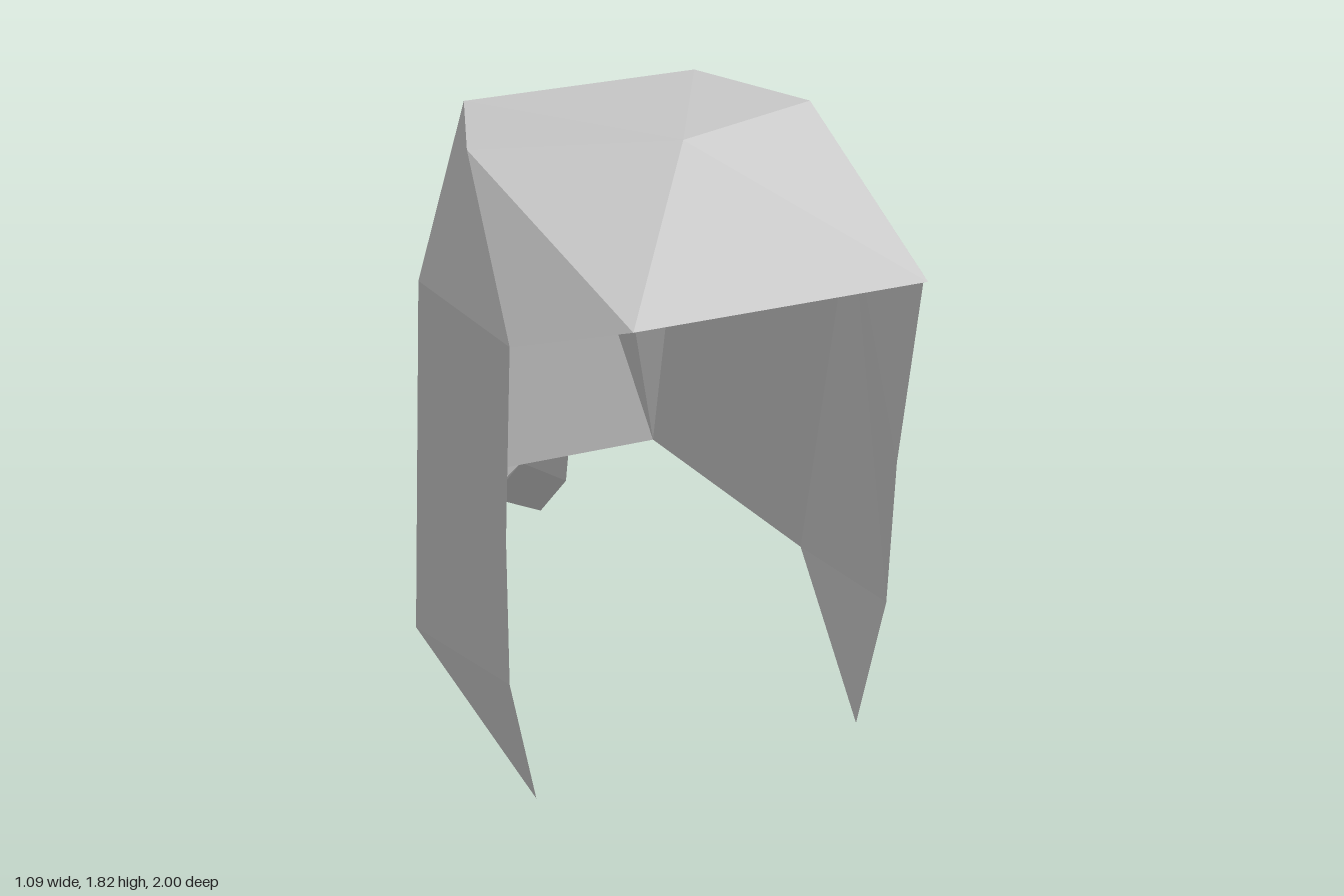
import * as THREE from 'three';

// Corner points of the left (+x) half; points on x = 0 are shared
const P = {
  peak: [0, 1.82, 0.515], nape: [0, 1.455, -0.335],
  brim: [0.36, 1.64, 1.0], crown: [0.42, 1.76, 0.27], backTop: [0.3, 1.7, -0.15],
  temple: [0.485, 1.52, 0.76], ear: [0.545, 1.455, 0.27],
  frontMid: [0.485, 1.0, 0.7], frontLow: [0.485, 0.6, 0.7], lockTip: [0.425, 0.245, 0.7],
  sideLow: [0.545, 0.37, 0.09], backLow: [0.3, 0.49, -0.395], napeSide: [0.12, 1.395, -0.27],
};

// Looks up a point; side -1 mirrors it, and the brim is a little narrower there
function point(name, side) {
  const [x, y, z] = P[name];
  return side < 0 && name === 'brim' ? [-0.3, y, z] : [x * side, y, z];
}

function meshFrom(name, triangles, material) {
  const geometry = new THREE.BufferGeometry();
  geometry.setAttribute('position', new THREE.Float32BufferAttribute(triangles.flat(2), 3));
  geometry.computeVertexNormals();
  const mesh = new THREE.Mesh(geometry, material);
  mesh.name = name;
  return mesh;
}

// Builds facets on both sides, then any that span the centre line ('-' marks the mirrored point)
function panel(name, halfFacets, centreFacets, material) {
  const triangles = [];
  for (const facet of halfFacets) {
    const names = facet.split(' ');
    triangles.push(names.map((n) => point(n, 1)));
    triangles.push(names.map((n) => point(n, -1)).reverse());
  }
  for (const facet of centreFacets) {
    triangles.push(facet.split(' ').map((n) => (n[0] === '-' ? point(n.slice(1), -1) : point(n, 1))));
  }
  return meshFrom(name, triangles, material);
}

export function createModel() {
  const group = new THREE.Group();
  group.name = 'hair';
  const hair = new THREE.MeshStandardMaterial({ color: 0xcccccc });
  hair.name = 'hairGrey';
  hair.side = THREE.DoubleSide;
  hair.flatShading = true;

  // Top of the head and the fringe
  group.add(panel('crown',
    ['peak brim crown', 'peak crown backTop', 'crown brim temple', 'crown temple ear', 'crown ear backTop'],
    ['peak -brim brim', 'peak backTop -backTop'], hair));

  // Long hair hanging at the sides
  group.add(panel('sideHair',
    ['backTop ear sideLow', 'backTop sideLow backLow', 'ear temple frontMid',
      'ear frontMid frontLow', 'ear frontLow sideLow', 'sideLow frontLow lockTip'],
    [], hair));

  // Back of the head, gathered at the nape
  group.add(panel('backHair',
    ['backTop backLow napeSide', 'backTop napeSide nape', 'napeSide backLow nape'],
    ['backTop nape -backTop', 'nape backLow -backLow'], hair));

  // Ponytail: a roof-shaped strip, each row [ridge y, ridge z, edge y, edge z]
  const rows = [
    [1.455, -0.335, 1.395, -0.27], [1.395, -0.452, 1.34, -0.395],
    [0.305, -0.695, 0.25, -0.637], [0, -1, 0, -0.88],
  ];
  const tail = [];
  for (let i = 0; i < rows.length - 1; i++) {
    const [a, b] = [rows[i], rows[i + 1]];
    for (const s of [1, -1]) {
      const ridgeA = [0, a[0], a[1]], ridgeB = [0, b[0], b[1]];
      const edgeA = [0.12 * s, a[2], a[3]], edgeB = [0.12 * s, b[2], b[3]];
      const quad = [[ridgeA, edgeA, edgeB], [ridgeA, edgeB, ridgeB]];
      tail.push(...quad.map((t) => (s > 0 ? t : t.reverse())));
    }
  }
  group.add(meshFrom('ponytail', tail, hair));
  return group;
}
